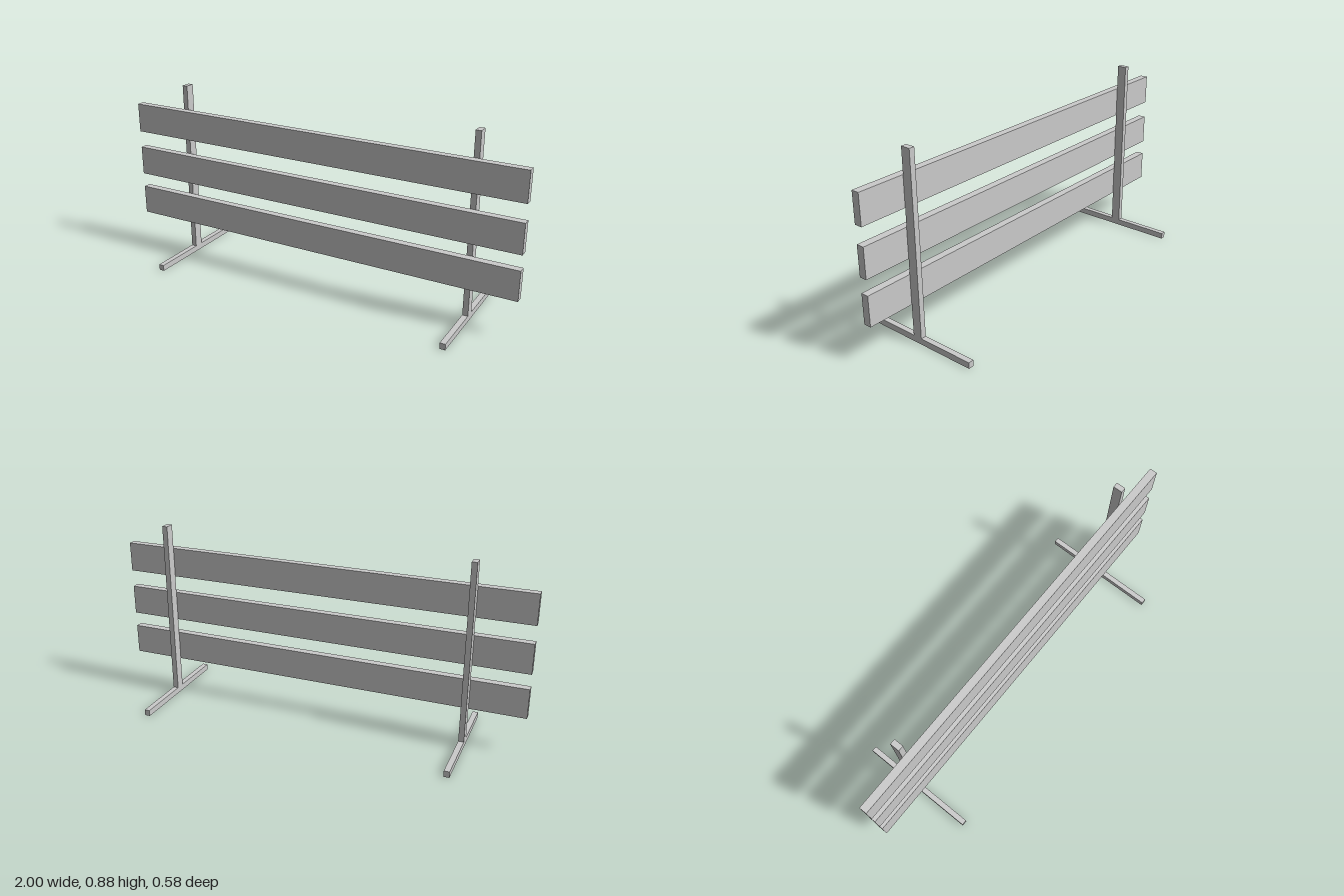
import * as THREE from 'three';

export function createModel() {
  const model = new THREE.Group();
  const material = new THREE.MeshStandardMaterial({ color: 0xcccccc, flatShading: true });

  // Adds a box given its size and centre
  const addBox = (name, parent, size, centre) => {
    const mesh = new THREE.Mesh(new THREE.BoxGeometry(...size), material);
    mesh.name = name;
    mesh.position.set(...centre);
    parent.add(mesh);
  };

  // Two T-shaped stands: a floor foot with an upright post
  const footHeight = 0.029, postTop = 0.882, width = 0.026;
  for (const [name, x] of [['rightStand', -0.726], ['leftStand', 0.764]]) {
    const stand = new THREE.Group();
    stand.name = name;
    stand.position.x = x;
    addBox('foot', stand, [width, footHeight, 0.584], [0, footHeight / 2, 0]);
    addBox('post', stand, [width, postTop - footHeight, 0.045],
      [0, (postTop + footHeight) / 2, 0.003]);
    model.add(stand);
  }

  // Three horizontal planks on the front of the posts
  [['lowerPlank', 0.25], ['middlePlank', 0.465], ['upperPlank', 0.692]].forEach(([name, y]) =>
    addBox(name, model, [2, 0.143, 0.037], [0, y, 0.044]));

  return model;
}
